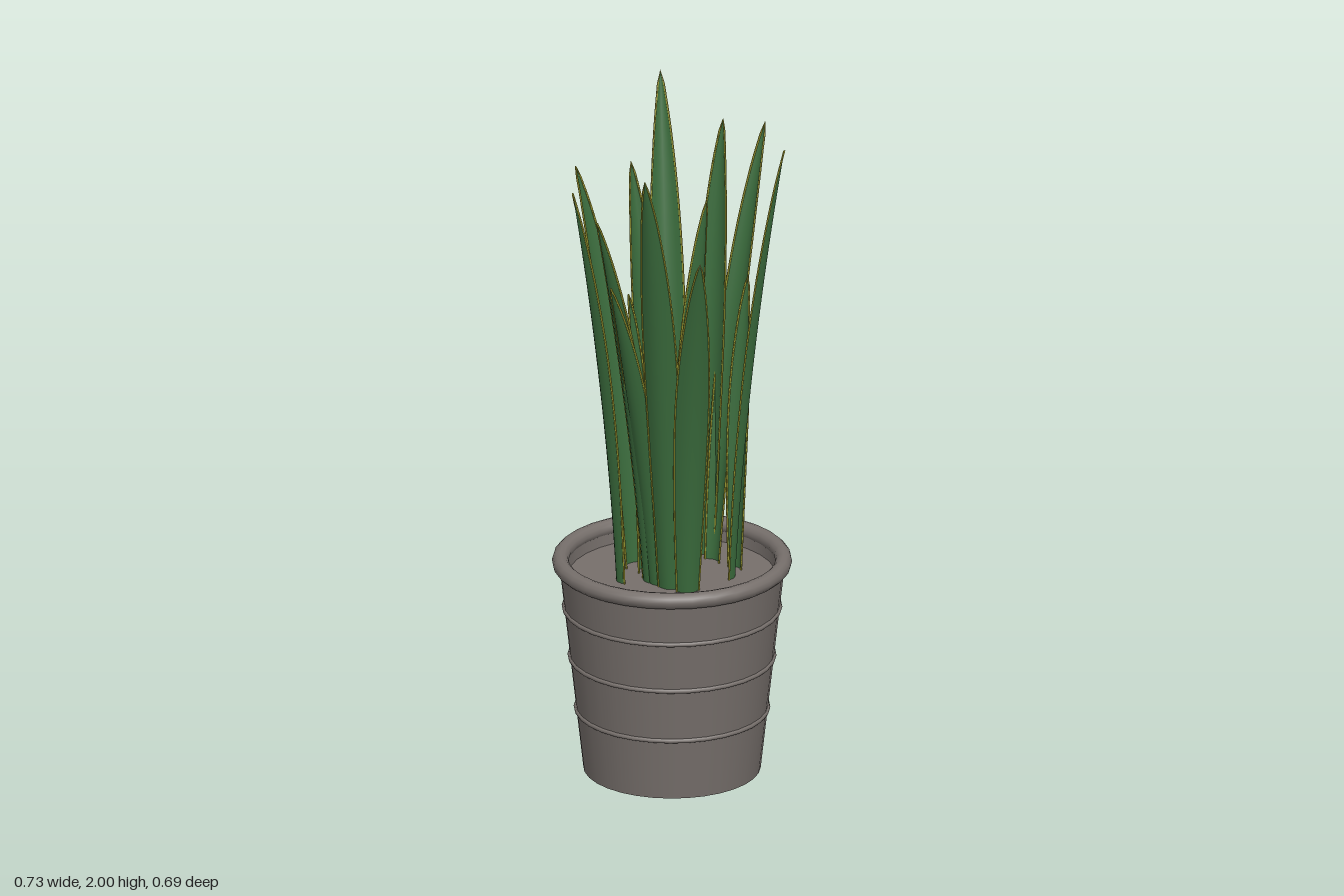
import * as THREE from 'three';

const potMat = new THREE.MeshStandardMaterial({ color: 0x766f6b });
potMat.name = 'stone grey';
const leafMat = new THREE.MeshStandardMaterial({ color: 0x3a6b3c, side: THREE.DoubleSide });
leafMat.name = 'leaf green';
const edgeMat = new THREE.MeshStandardMaterial({ color: 0x9a962f });
edgeMat.name = 'leaf edge yellow';

const SOIL_Y = 0.59;

function addMesh(parent, name, geometry, material, y = 0) {
  const mesh = new THREE.Mesh(geometry, material);
  mesh.name = name;
  mesh.position.y = y;
  parent.add(mesh);
  return mesh;
}

function makePot() {
  const pot = new THREE.Group();
  pot.name = 'pot';
  const wallRadius = (y) => 0.255 + 0.111 * y;
  const ring = (name, radius, tube, y, sides) =>
    addMesh(pot, name, new THREE.TorusGeometry(radius, tube, sides, 32).rotateX(Math.PI / 2), potMat, y);

  addMesh(pot, 'potWall', new THREE.CylinderGeometry(wallRadius(0.63), wallRadius(0), 0.63, 32, 1, true), potMat, 0.315);
  addMesh(pot, 'potBottom', new THREE.CircleGeometry(wallRadius(0), 32).rotateX(Math.PI / 2), potMat);
  ring('rim', 0.321, 0.024, 0.635, 12);
  for (const y of [0.185, 0.345, 0.495]) ring('band', wallRadius(y), 0.007, y, 8);

  // Inner wall and soil surface
  const inner = [new THREE.Vector2(0.302, 0.64), new THREE.Vector2(0.299, SOIL_Y)];
  addMesh(pot, 'innerWall', new THREE.LatheGeometry(inner.reverse(), 32).scale(-1, 1, 1), potMat).material = potMat;
  addMesh(pot, 'soil', new THREE.CircleGeometry(0.302, 32).rotateX(-Math.PI / 2), potMat, SOIL_Y);
  return pot;
}

// Half width along the blade: narrow foot, broad middle, pointed tip
function halfWidth(t) {
  const grow = 0.032 + 0.017 * Math.sin(Math.min(t / 0.55, 1) * Math.PI / 2);
  const taper = t < 0.5 ? 1 : Math.pow(1 - Math.pow((t - 0.5) / 0.5, 2), 0.8);
  return grow * taper;
}

function makeLeaf(bx, bz, tx, tz, height, size = 1) {
  const leaf = new THREE.Group();
  leaf.name = 'leaf';
  const out = new THREE.Vector2(tx - bx, tz - bz).normalize();

  // Point on the blade: t runs up, u runs across from -1 to 1
  const point = (t, u) => {
    const lean = 0.5 * t + 0.5 * t * t;
    const w = halfWidth(t) * size;
    const cup = -0.5 * w * u * u;
    return new THREE.Vector3(
      bx + (tx - bx) * lean + out.x * cup - out.y * w * u,
      SOIL_Y + (height - SOIL_Y) * t,
      bz + (tz - bz) * lean + out.y * cup + out.x * w * u
    );
  };

  // Cupped blade
  const blade = new THREE.PlaneGeometry(1, 1, 6, 22);
  const uv = blade.attributes.uv;
  const pos = blade.attributes.position;
  for (let i = 0; i < pos.count; i++) {
    const p = point(uv.getY(i), uv.getX(i) * 2 - 1);
    pos.setXYZ(i, p.x, p.y, p.z);
  }
  blade.computeVertexNormals();
  addMesh(leaf, 'blade', blade, leafMat);

  // Yellow border up one side, over the tip and down the other
  const outline = [];
  for (let i = 0; i <= 14; i++) outline.push(point(i / 14, -1));
  for (let i = 13; i >= 0; i--) outline.push(point(i / 14, 1));
  const curve = new THREE.CatmullRomCurve3(outline);
  addMesh(leaf, 'leafEdge', new THREE.TubeGeometry(curve, 72, 0.003, 5), edgeMat);
  return leaf;
}

export function createModel() {
  const model = new THREE.Group();
  model.name = 'pottedPlant';

  const pot = makePot();
  pot.position.x = -0.022;
  model.add(pot);

  // Base x, base z, tip x, tip z, tip height, width scale
  const leaves = [
    [0.055, -0.085, 0.217, -0.298, 1.997, 1],
    [-0.055, -0.15, -0.10, -0.318, 1.78, 1.05],
    [-0.06, -0.095, -0.07, -0.13, 1.43, 0.8],
    [-0.005, -0.09, 0.023, -0.217, 1.79, 0.95],
    [-0.17, -0.075, -0.288, -0.135, 1.8, 0.9],
    [-0.115, -0.012, -0.295, -0.025, 1.74, 0.9],
    [-0.115, 0.015, -0.285, 0.02, 1.55, 0.9],
    [-0.11, 0.075, -0.325, 0.203, 1.94, 1],
    [-0.085, 0.135, -0.2, 0.303, 1.68, 1],
    [-0.02, 0.06, -0.013, 0.135, 1.78, 1],
    [-0.01, 0.09, 0, 0.125, 1.41, 0.8],
    [0.1, 0.135, 0.19, 0.245, 1.91, 0.9],
    [0.15, 0.0, 0.36, -0.012, 1.88, 0.85],
    [0.16, -0.045, 0.253, -0.075, 1.9, 0.95],
    [0.155, 0.085, 0.208, 0.075, 1.47, 0.7],
  ];
  for (const l of leaves) model.add(makeLeaf(...l));
  return model;
}
